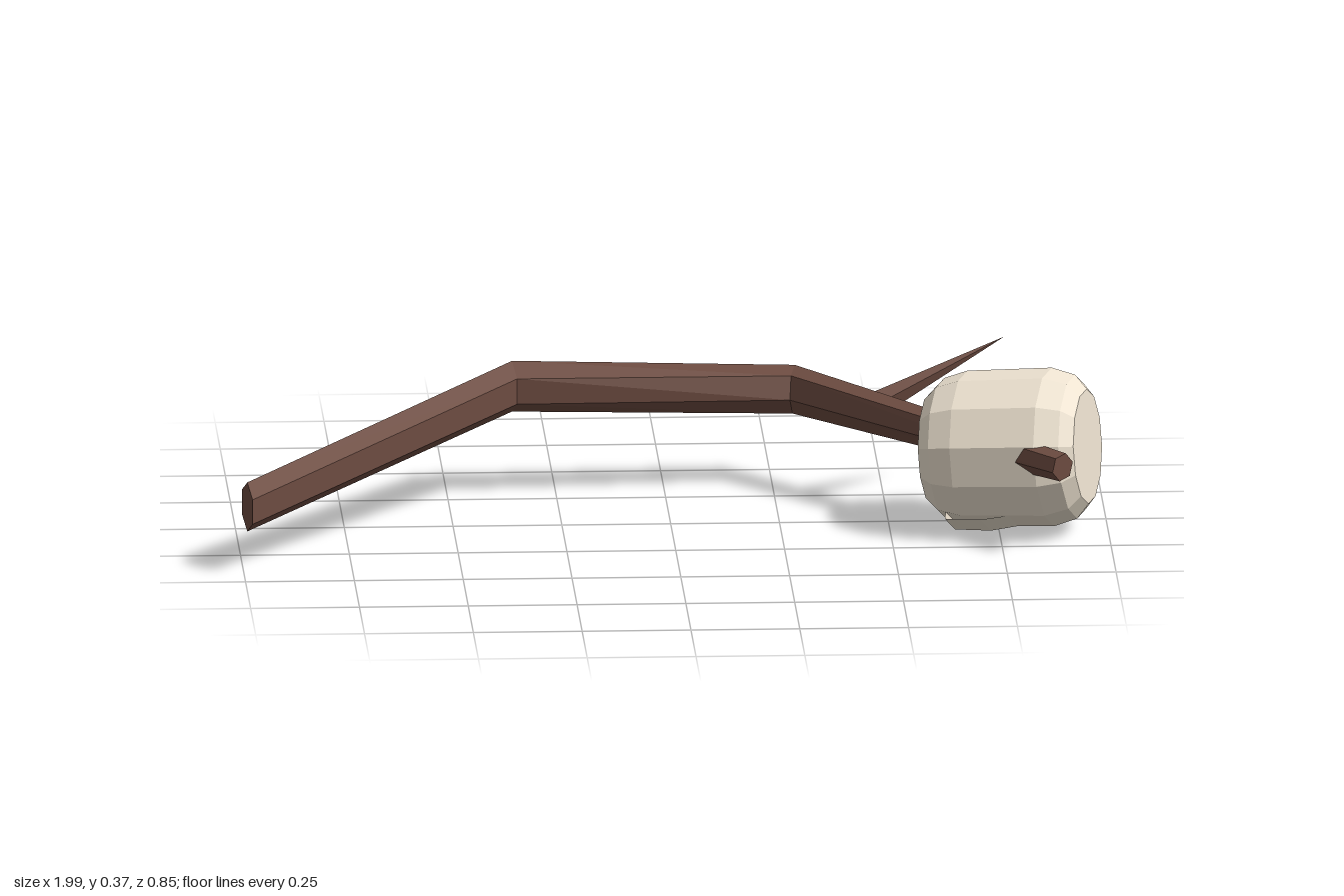
import * as THREE from 'three';

const V = (x, y, z) => new THREE.Vector3(x, y, z);
const bark = new THREE.MeshStandardMaterial({ color: 0x6d4c41, flatShading: true });
const cream = new THREE.MeshStandardMaterial({ color: 0xefe4d2, flatShading: true, side: THREE.DoubleSide });

function part(name, geometry, material) {
  const mesh = new THREE.Mesh(geometry, material);
  mesh.name = name;
  return mesh;
}

// Six-sided branch lofted through rings: centre, sideways direction, radius, twist
function branchGeometry(rings, sides = 6) {
  const pos = [], index = [];
  for (const { c, side, r, twist } of rings) {
    const s = side.clone().normalize();
    for (let i = 0; i < sides; i++) {
      const a = Math.PI / 6 + twist + (i / sides) * Math.PI * 2;
      const p = c.clone().addScaledVector(s, r * Math.cos(a));
      pos.push(p.x, p.y + r * Math.sin(a), p.z);
    }
  }
  for (let k = 0; k < rings.length - 1; k++) {
    for (let i = 0; i < sides; i++) {
      const j = (i + 1) % sides;
      const a = k * sides + i, b = k * sides + j;
      index.push(a, a + sides, b, b, a + sides, b + sides);
    }
  }
  // End caps
  const last = (rings.length - 1) * sides;
  for (let i = 1; i < sides - 1; i++) {
    index.push(0, i, i + 1, last, last + i + 1, last + i);
  }
  const g = new THREE.BufferGeometry();
  g.setAttribute('position', new THREE.Float32BufferAttribute(pos, 3));
  g.setIndex(index);
  g.computeVertexNormals();
  return g;
}

export function createModel() {
  const model = new THREE.Group();
  model.name = 'marshmallowOnStick';

  // Crooked stick, thinner towards the roasting end
  model.add(part('stick', branchGeometry([
    { c: V(-0.99, 0.147, 0.37), side: V(0.2, 0, 0.98), r: 0.058, twist: 0 },
    { c: V(-0.35, 0.253, -0.315), side: V(0.18, 0, 0.98), r: 0.06, twist: 0 },
    { c: V(0.3, 0.222, -0.38), side: V(-0.2, 0, 0.98), r: 0.056, twist: 0.3 },
    { c: V(0.885, 0.21, 0.335), side: V(-0.75, 0, 0.66), r: 0.033, twist: 0.3 },
  ]), bark));

  // Pointed side twig
  const base = V(0.465, 0.225, -0.185), tip = V(0.78, 0.362, -0.296);
  const dir = tip.clone().sub(base);
  const twig = part('twig', new THREE.ConeGeometry(0.032, dir.length(), 5), bark);
  twig.position.copy(base).add(tip).multiplyScalar(0.5);
  twig.quaternion.setFromUnitVectors(V(0, 1, 0), dir.normalize());
  model.add(twig);

  // Marshmallow with bevelled rims, skewered at an angle
  const marshmallow = new THREE.Group();
  marshmallow.name = 'marshmallow';
  const profile = [[0, -0.187], [0.13, -0.187], [0.162, -0.155], [0.178, -0.1],
    [0.182, 0.1], [0.165, 0.155], [0.132, 0.182], [0, 0.182]];
  marshmallow.add(part('marshmallowBody',
    new THREE.LatheGeometry(profile.map(([r, y]) => new THREE.Vector2(r, y)), 12), cream));

  // Melted flap hanging under the inner rim
  const flap = [[0.165, -0.135], [0.186, -0.135], [0.19, -0.05], [0.178, 0.03]];
  marshmallow.add(part('meltedFlap',
    new THREE.LatheGeometry(flap.map(([r, y]) => new THREE.Vector2(r, y)), 2, Math.PI / 6, Math.PI / 3), cream));

  marshmallow.position.set(0.778, 0.193, 0.076);
  marshmallow.quaternion.setFromUnitVectors(V(0, 1, 0), V(0.955, 0.075, 0.285).normalize());
  model.add(marshmallow);

  return model;
}
